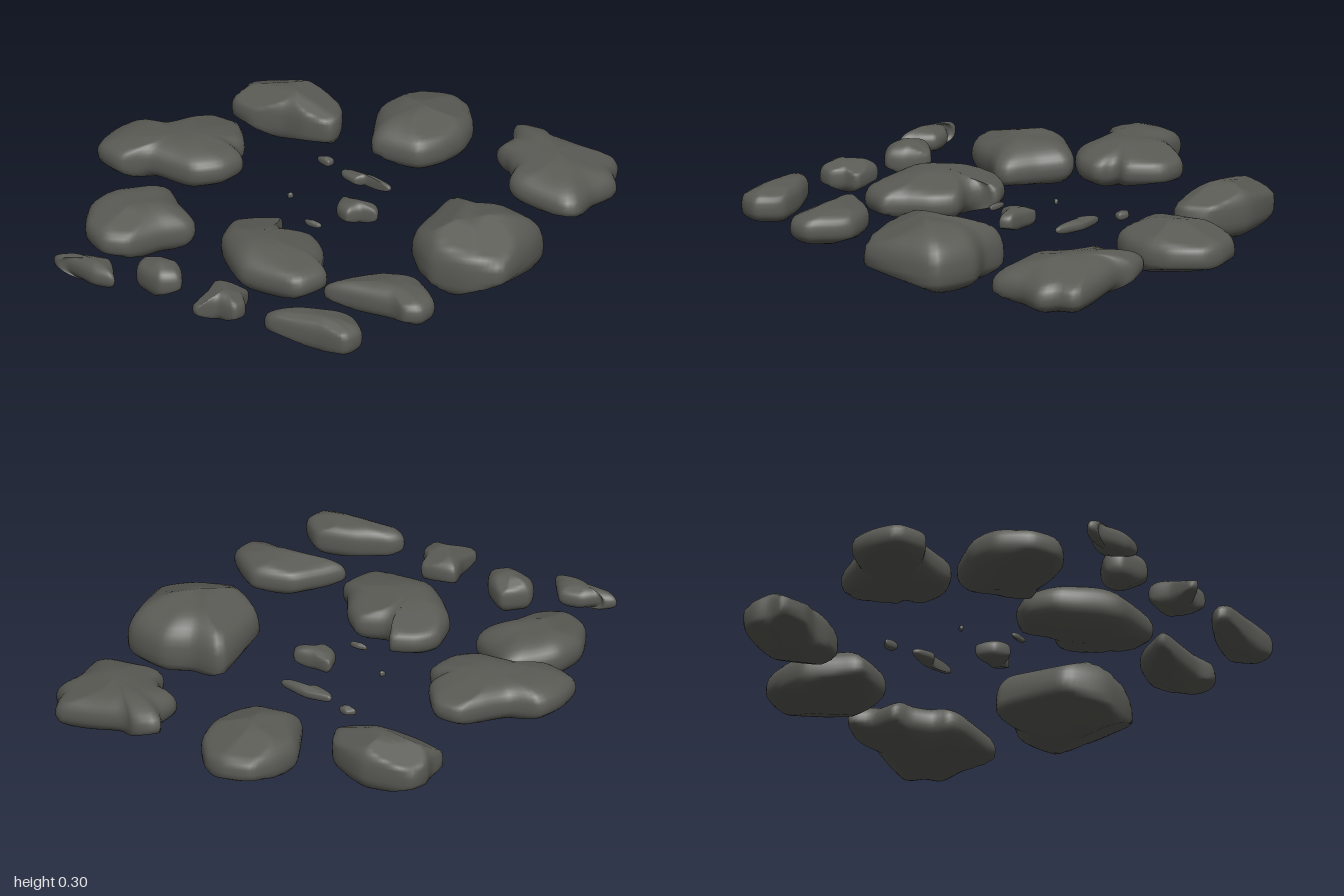
import * as THREE from 'three';

const SEGMENTS = 72;
const RINGS = 19;

function seeded(seed) {
  let s = seed * 7919 + 17;
  return () => (s = (s * 16807) % 2147483647) / 2147483647;
}

// Stone from a plan outline [x, z, x, z, ...], a hub inside it and a height range.
// base and peak move the lowest and highest points; round 1 is a lens, lower is boxier;
// rim raises or lowers the widest level.
function stoneGeometry(outline, hub, y0, y1, { seed, tiltX = 0, tiltZ = 0, round = 0.85, rim = 0, base = hub, peak = hub }) {
  const rand = seeded(seed);
  rand();
  const corners = [];
  for (let i = 0; i < outline.length; i += 2) corners.push(new THREE.Vector3(outline[i], 0, outline[i + 1]));
  const plan = new THREE.CatmullRomCurve3(corners, true, 'catmullrom', 0.32).getSpacedPoints(SEGMENTS).slice(0, SEGMENTS);
  const [cx, cz] = hub;
  const rx = Math.max(...plan.map(p => Math.abs(p.x - cx)));
  const rz = Math.max(...plan.map(p => Math.abs(p.z - cz)));

  // Oblique planes that chip flat faces off the top and underside
  const planes = [];
  for (let k = 0; k < 8; k++) {
    const a = rand() * Math.PI * 2;
    const n = new THREE.Vector3(Math.cos(a) * 0.6, k % 2 ? 0.8 : -0.8, Math.sin(a) * 0.6);
    planes.push(new THREE.Plane(n, -(0.86 + rand() * 0.12)));
  }
  const phase = rand() * 6;

  const positions = [];
  const put = (x, z, h) => {
    const p = new THREE.Vector3((x - cx) / rx, h + rim * (1 - h * h), (z - cz) / rz);
    const inner = 1 - Math.min(1, Math.hypot(p.x, p.z));
    p.y += 0.08 * inner * Math.sin(p.x * 6 + phase) * Math.cos(p.z * 5 - phase);
    for (const plane of planes) {
      const d = plane.distanceToPoint(p);
      if (d > 0) p.addScaledVector(plane.normal, -d);
    }
    const px = cx + p.x * rx, pz = cz + p.z * rz;
    const y = y0 + (p.y + 1) / 2 * (y1 - y0) + tiltX * (px - cx) + tiltZ * (pz - cz);
    positions.push(px, Math.max(0, y), pz);
  };

  // Rings from the underside to the top, each a shrunken copy of the outline
  put(base[0], base[1], -1);
  for (let j = 1; j <= RINGS; j++) {
    const a = (j / (RINGS + 1) - 0.5) * Math.PI;
    const s = Math.cos(a) ** round;
    const h = Math.sign(a) * Math.abs(Math.sin(a)) ** round;
    const [px, pz] = a < 0 ? base : peak;
    for (const p of plan) put(px + (p.x - px) * s, pz + (p.z - pz) * s, h);
  }
  put(peak[0], peak[1], 1);

  const index = [];
  const top = 1 + RINGS * SEGMENTS;
  for (let i = 0; i < SEGMENTS; i++) {
    const n = (i + 1) % SEGMENTS;
    index.push(0, 1 + i, 1 + n);
    for (let j = 0; j < RINGS - 1; j++) {
      const a = 1 + j * SEGMENTS, c = a + SEGMENTS;
      index.push(a + i, c + i, a + n, a + n, c + i, c + n);
    }
    index.push(top - SEGMENTS + i, top, top - SEGMENTS + n);
  }
  const geometry = new THREE.BufferGeometry();
  geometry.setAttribute('position', new THREE.Float32BufferAttribute(positions, 3));
  geometry.setIndex(index);
  geometry.computeVertexNormals();
  return geometry;
}

export function createModel() {
  const group = new THREE.Group();
  group.name = 'scatteredStones';
  const stone = new THREE.MeshStandardMaterial({ color: 0x5a5a55 });
  stone.name = 'darkStone';
  let seed = 1;
  const add = (name, outline, hub, y0, y1, options = {}) => {
    const mesh = new THREE.Mesh(stoneGeometry(outline, hub, y0, y1, { seed: seed++, ...options }), stone);
    mesh.name = name;
    group.add(mesh);
  };

  // Back row
  add('backCentreStone', [0.05, -1, 0.14, -0.97, 0.22, -0.86, 0.24, -0.75, 0.21, -0.63, 0.14, -0.54,
    -0.05, -0.53, -0.1, -0.61, -0.155, -0.75, -0.13, -0.87, -0.07, -0.97], [0.04, -0.76], 0.04, 0.245,
  { round: 0.8, rim: -0.12 });
  add('backLeftCornerStone', [0.4, -0.87, 0.5, -0.9, 0.57, -0.87, 0.85, -0.89, 0.89, -0.8, 0.935, -0.74,
    0.9, -0.62, 0.9, -0.5, 0.85, -0.46, 0.65, -0.47, 0.58, -0.5, 0.56, -0.57, 0.49, -0.64, 0.43, -0.67,
    0.44, -0.78], [0.69, -0.7], 0.05, 0.24, { tiltX: -0.1, rim: -0.08 });
  add('backRightCornerStone', [-0.69, -0.66, -0.65, -0.73, -0.45, -0.755, -0.28, -0.68, -0.235, -0.59,
    -0.25, -0.53, -0.35, -0.51, -0.45, -0.515, -0.58, -0.485, -0.69, -0.52, -0.68, -0.59],
  [-0.47, -0.62], 0.04, 0.26, { round: 0.7 });

  // Middle row
  add('rightSideStone', [-0.69, -0.23, -0.63, -0.29, -0.52, -0.28, -0.43, -0.16, -0.44, -0.1, -0.375, -0.05,
    -0.4, 0.06, -0.5, 0.14, -0.7, 0.14, -0.8, 0.2, -0.93, 0.15, -0.94, 0.03, -0.9, -0.08, -0.78, -0.12],
  [-0.64, -0.02], 0.12, 0.3, { round: 0.8 });
  add('leftSideStone', [0.46, -0.22, 0.6, -0.23, 0.72, -0.27, 0.9, -0.21, 0.925, 0, 0.91, 0.14, 0.77, 0.2,
    0.62, 0.21, 0.52, 0.15, 0.46, 0.07], [0.69, -0.02], 0, 0.285,
  { round: 0.72, rim: -0.22, base: [0.65, 0.07], peak: [0.69, 0.02] });

  // Front middle row
  add('frontRightStone', [-0.62, 0.24, -0.55, 0.22, -0.46, 0.3, -0.36, 0.37, -0.35, 0.43, -0.42, 0.52,
    -0.5, 0.66, -0.6, 0.7, -0.71, 0.64, -0.77, 0.5, -0.74, 0.37], [-0.57, 0.46], 0.04, 0.24, { tiltX: -0.06 });
  add('frontCentreStone', [-0.22, 0.32, -0.16, 0.24, -0.06, 0.2, -0.045, 0.26, 0.01, 0.295, 0.12, 0.265,
    0.2, 0.33, 0.26, 0.44, 0.31, 0.5, 0.27, 0.61, 0.22, 0.64, 0, 0.64, -0.12, 0.55, -0.2, 0.45],
  [-0.02, 0.46], 0.04, 0.235, { base: [0.04, 0.47] });
  add('frontLeftStone', [0.35, 0.6, 0.42, 0.5, 0.5, 0.42, 0.66, 0.385, 0.8, 0.5, 0.795, 0.59, 0.73, 0.625,
    0.65, 0.6, 0.4, 0.615], [0.62, 0.51], 0.07, 0.22, { round: 0.8 });

  // Front row
  add('frontLongStone', [0.26, 0.92, 0.3, 0.87, 0.43, 0.81, 0.58, 0.78, 0.67, 0.86, 0.64, 0.95, 0.5, 0.95,
    0.3, 0.955], [0.5, 0.88], 0.07, 0.22, { round: 0.72 });
  add('frontNotchedStone', [-0.04, 0.78, 0.1, 0.77, 0.115, 0.83, 0.15, 0.88, 0.135, 0.94, 0.05, 0.935,
    -0.01, 0.99, -0.04, 0.97, -0.03, 0.88], [0.05, 0.87], 0.08, 0.21, { round: 0.75 });
  add('frontRoundStone', [-0.29, 0.71, -0.2, 0.77, -0.17, 0.84, -0.24, 0.89, -0.36, 0.85, -0.38, 0.78],
    [-0.28, 0.8], 0.07, 0.22, { round: 0.8 });
  add('frontTaperedStone', [-0.71, 0.9, -0.67, 0.87, -0.64, 0.89, -0.58, 0.84, -0.49, 0.83, -0.43, 0.91,
    -0.41, 0.95, -0.5, 0.96, -0.64, 0.915, -0.68, 0.925], [-0.53, 0.9], 0.1, 0.2);

  // Pebbles in the middle
  add('pebble1', [-0.2, -0.34, -0.17, -0.365, -0.13, -0.35, -0.14, -0.32, -0.17, -0.325], [-0.16, -0.34], 0.12, 0.16);
  add('pebble2', [-0.06, -0.3, 0.05, -0.31, 0.17, -0.275, 0.165, -0.255, 0.06, -0.27, 0.02, -0.245,
    -0.05, -0.27], [0.04, -0.28], 0.115, 0.165);
  add('pebble3', [0.06, -0.08, 0.14, -0.075, 0.22, -0.075, 0.24, -0.03, 0.18, -0.01, 0.14, 0.035, 0.075, 0],
    [0.14, -0.035], 0.1, 0.19, { round: 0.75 });
  add('pebble4', [-0.16, -0.02, -0.145, -0.035, -0.135, -0.025, -0.15, -0.01], [-0.148, -0.022], 0.13, 0.155);
  add('pebble5', [0, 0.125, 0.04, 0.118, 0.08, 0.13, 0.07, 0.145, 0.02, 0.14], [0.04, 0.132], 0.125, 0.155);

  return group;
}
